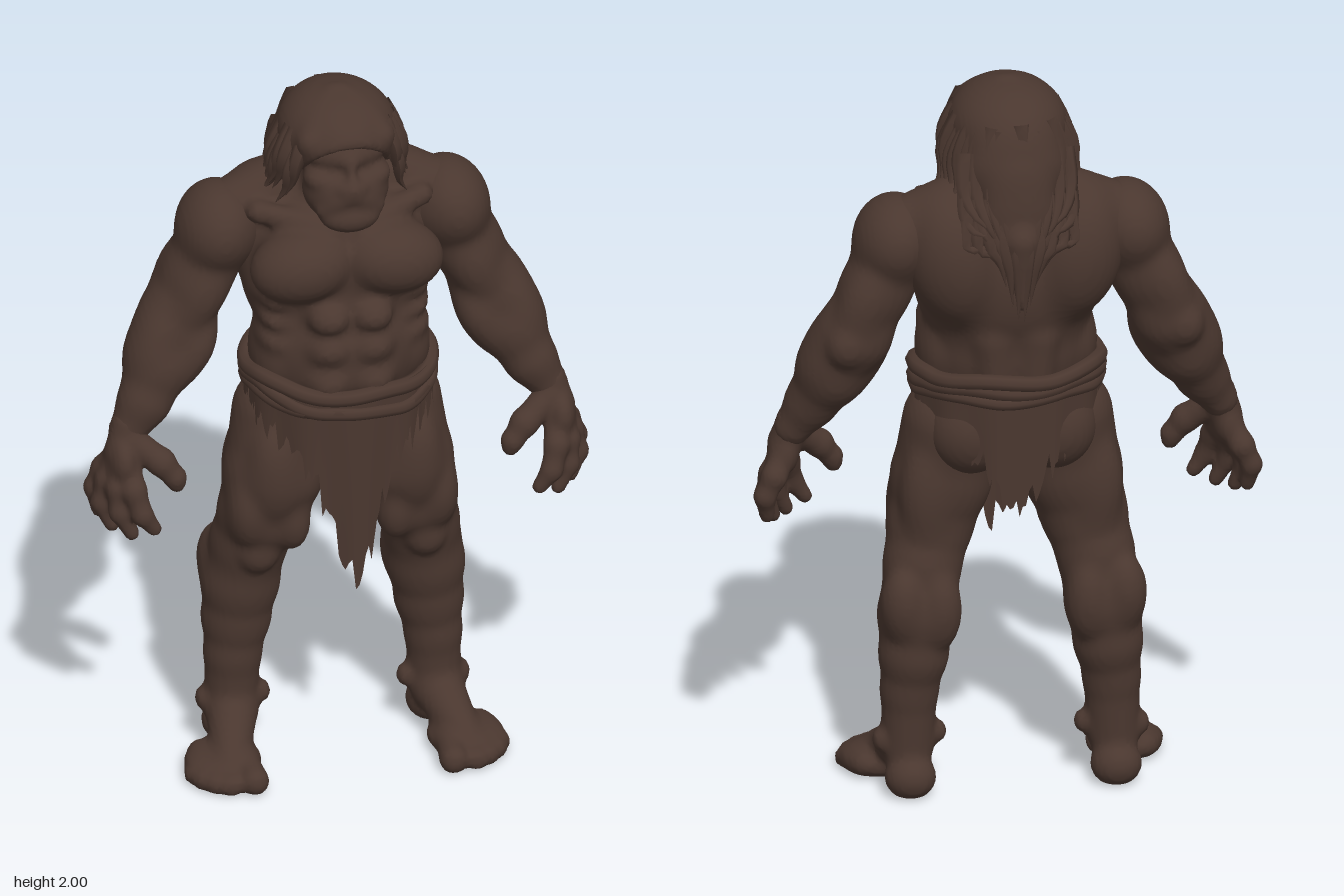
import * as THREE from 'three';

const brown = new THREE.MeshStandardMaterial({ color: 0x4a372f, side: THREE.DoubleSide });
brown.name = 'dark brown';

let seed = 7;
const rand = () => (seed = (seed * 16807) % 2147483647) / 2147483647;

// Soft shapes: tapered limb between two points, and ellipsoid (optionally tilted about z)
function limb(a, b, ra, rb) {
  const d = b.map((v, i) => v - a[i]), dd = d[0] ** 2 + d[1] ** 2 + d[2] ** 2, r = Math.max(ra, rb);
  return {
    lo: a.map((v, i) => Math.min(v, b[i]) - r), hi: a.map((v, i) => Math.max(v, b[i]) + r),
    dist(x, y, z) {
      x -= a[0]; y -= a[1]; z -= a[2];
      const h = Math.min(1, Math.max(0, (x * d[0] + y * d[1] + z * d[2]) / dd));
      return Math.hypot(x - h * d[0], y - h * d[1], z - h * d[2]) - ra - h * (rb - ra);
    },
  };
}
function egg(c, r, tilt = 0) {
  const m = tilt ? Math.max(...r) : 0, cs = Math.cos(tilt), sn = Math.sin(tilt);
  return {
    lo: c.map((v, i) => v - Math.max(m, r[i])), hi: c.map((v, i) => v + Math.max(m, r[i])),
    dist(x, y, z) {
      x -= c[0]; y -= c[1]; z -= c[2];
      const u = x * cs + y * sn, v = y * cs - x * sn;
      const k0 = Math.hypot(u / r[0], v / r[1], z / r[2]);
      const k1 = Math.hypot(u / r[0] ** 2, v / r[1] ** 2, z / r[2] ** 2);
      return k1 < 1e-6 ? -Math.min(...r) : k0 * (k0 - 1) / k1;
    },
  };
}
// Chain of limbs through [x, y, z, radius] stations
const chain = (pts) => pts.slice(1).map((p, i) => limb(pts[i].slice(0, 3), p.slice(0, 3), pts[i][3], p[3]));

const smin = (a, b, k) => {
  const h = Math.max(k - Math.abs(a - b), 0) / k;
  return Math.min(a, b) - h * h * k / 4;
};

// Blends soft shapes into one smooth skin (surface nets)
function sculpt(shapes, { step = 0.013, k = 0.03, mirror = false, cuts = [], floor = -1 } = {}) {
  const lo = [0, 1, 2].map((i) => Math.min(...shapes.map((s) => s.lo[i])) - 0.035);
  const hi = [0, 1, 2].map((i) => Math.max(...shapes.map((s) => s.hi[i])) + 0.035);
  if (mirror) lo[0] = -(hi[0] = Math.max(hi[0], -lo[0]));
  const n = lo.map((v, i) => Math.ceil((hi[i] - v) / step) + 1);
  const S = [1, n[0], n[0] * n[1]], val = new Float32Array(n[0] * n[1] * n[2]);
  const each = (f, end) => {
    for (let c = 0; c < n[2] - end; c++) for (let b = 0; b < n[1] - end; b++)
      for (let a = 0; a < n[0] - end; a++) f([a, b, c], a + b * S[1] + c * S[2]);
  };
  each((g, q) => {
    let [x, y, z] = g.map((v, i) => lo[i] + v * step), d = 1;
    if (mirror) x = Math.abs(x);
    for (const s of shapes) d = smin(d, s.dist(x, y, z), k);
    for (const s of cuts) d = -smin(-d, s.dist(x, y, z), 0.02);
    val[q] = Math.max(d, floor - y);
  }, 0);
  const pos = [], index = [], id = new Int32Array(val.length).fill(-1);
  const off = (c) => (c & 1) * S[0] + (c >> 1 & 1) * S[1] + (c >> 2 & 1) * S[2];
  each((g, q) => {
    const sum = [0, 0, 0];
    let count = 0;
    for (let c = 0; c < 8; c++) for (let b = 0; b < 3; b++) {
      if (c >> b & 1) continue;
      const v0 = val[q + off(c)], v1 = val[q + off(c) + S[b]];
      if (v0 < 0 === v1 < 0) continue;
      for (let i = 0; i < 3; i++) sum[i] += (c >> i & 1) + (i === b ? v0 / (v0 - v1) : 0);
      count++;
    }
    if (!count) return;
    id[q] = pos.length / 3;
    pos.push(...sum.map((s, i) => lo[i] + (g[i] + s / count) * step));
  }, 1);
  each((g, q) => {
    for (let a = 0; a < 3; a++) {
      const inside = val[q] < 0;
      if (inside === val[q + S[a]] < 0) continue;
      const u = S[(a + 1) % 3], v = S[(a + 2) % 3];
      const [A, B, C, D] = [q, q - u, q - u - v, q - v].map((e) => id[e]);
      index.push(...(inside ? [A, B, C, A, C, D] : [A, C, B, A, D, C]));
    }
  }, 1);
  return surface(pos, index);
}
function surface(pos, index) {
  const geo = new THREE.BufferGeometry();
  geo.setAttribute('position', new THREE.Float32BufferAttribute(pos, 3));
  geo.setIndex(index);
  geo.computeVertexNormals();
  return geo;
}
function flipped(geo) {
  const out = geo.clone().scale(-1, 1, 1), ix = out.index.array;
  for (let i = 0; i < ix.length; i += 3) [ix[i], ix[i + 1]] = [ix[i + 1], ix[i]];
  out.computeVertexNormals();
  return out;
}
// Pointed lock of hair along a curve
function lock(points, width) {
  const curve = new THREE.CatmullRomCurve3(points.map((p) => new THREE.Vector3(...p)));
  const geo = new THREE.TubeGeometry(curve, 8, width, 6), p = geo.attributes.position, v = new THREE.Vector3();
  for (let i = 0; i < p.count; i++) {
    const t = Math.floor(i / 7) / 8, c = curve.getPointAt(t);
    v.fromBufferAttribute(p, i).sub(c).multiplyScalar(Math.max(0.02, 1 - t ** 1.6)).add(c);
    p.setXYZ(i, v.x, v.y, v.z);
  }
  geo.computeVertexNormals();
  return geo;
}

export function createModel() {
  const model = new THREE.Group();
  const add = (name, geo, parent = model) => {
    const mesh = new THREE.Mesh(geo, brown);
    mesh.name = name;
    parent.add(mesh);
  };
  const pair = (name, geo) => { add('left' + name, geo); add('right' + name, flipped(geo)); };

  // Torso: ribs, belly, hips, then chest, back, neck slopes and stomach muscles
  add('torso', sculpt([
    egg([0, 1.46, 0], [0.255, 0.26, 0.185]), egg([0, 1.25, 0.035], [0.225, 0.22, 0.18]),
    egg([0, 1.08, 0.01], [0.235, 0.15, 0.165]), egg([0.12, 1.535, 0.135], [0.14, 0.1, 0.105], -0.15),
    egg([0.16, 1.54, -0.09], [0.13, 0.19, 0.125], -0.2), egg([0.11, 1.03, -0.06], [0.115, 0.12, 0.105]),
    limb([0.05, 1.74, -0.06], [0.27, 1.62, -0.05], 0.065, 0.085), limb([0, 1.64, -0.02], [0, 1.8, 0.04], 0.1, 0.095),
    limb([0.06, 1.3, -0.12], [0.05, 1.15, -0.12], 0.045, 0.04), egg([0.185, 1.23, 0.04], [0.055, 0.1, 0.1]),
    limb([0.03, 1.63, 0.13], [0.22, 1.66, 0.05], 0.025, 0.03),
    ...[1.39, 1.3, 1.2].map((y) => egg([0.058, y, 0.18], [0.055, 0.045, 0.055])),
    ...[1.42, 1.36, 1.3].map((y) => egg([0.185, y, 0.09], [0.045, 0.028, 0.06], 0.4)),
  ], { k: 0.03, mirror: true }));

  // Arms
  pair('Arm', sculpt([
    egg([0.315, 1.585, -0.04], [0.105, 0.12, 0.135], 0.3),
    ...chain([[0.3, 1.57, -0.04, 0.1], [0.36, 1.45, -0.045, 0.09], [0.42, 1.32, -0.045, 0.095],
      [0.475, 1.2, -0.01, 0.088], [0.52, 1.11, 0.02, 0.066], [0.57, 1.03, 0.035, 0.05]]),
    egg([0.365, 1.41, 0.01], [0.06, 0.1, 0.06], 0.42), egg([0.4, 1.43, -0.1], [0.06, 0.11, 0.055], 0.42),
    egg([0.49, 1.27, -0.02], [0.06, 0.1, 0.08], 0.4), egg([0.39, 1.24, 0.0], [0.055, 0.1, 0.07], 0.5),
    egg([0.455, 1.31, -0.12], [0.04, 0.045, 0.035]),
  ]));

  // Hands: palm rays running into curled fingers, and a thumb
  const rays = [
    [[0.625, 0.905, 0.0], [0.65, 0.85, -0.002], [0.642, 0.79, 0.015]],
    [[0.625, 0.895, 0.045], [0.642, 0.83, 0.05], [0.618, 0.77, 0.065]],
    [[0.605, 0.89, 0.09], [0.605, 0.825, 0.105], [0.575, 0.765, 0.115]],
    [[0.57, 0.895, 0.12], [0.552, 0.83, 0.14], [0.52, 0.785, 0.14]],
  ];
  pair('Hand', sculpt([
    limb([0.565, 1.05, 0.035], [0.59, 0.98, 0.05], 0.048, 0.042), egg([0.59, 0.96, 0.06], [0.04, 0.07, 0.07]),
    ...rays.flatMap(([a, b, c]) => chain([[0.58, 1.0, 0.045, 0.03], [...a, 0.032], [...b, 0.027], [...c, 0.02]])),
    ...chain([[0.56, 1.01, 0.06, 0.038], [0.49, 0.955, 0.09, 0.036], [0.455, 0.91, 0.1, 0.028], [0.45, 0.89, 0.1, 0.022]]),
  ], { step: 0.009, k: 0.014 }));

  // Legs with flat-soled feet
  pair('Leg', sculpt([
    ...chain([[0.155, 1.03, 0.01, 0.125], [0.175, 0.86, 0.03, 0.13], [0.205, 0.74, 0.02, 0.112], [0.23, 0.64, -0.01, 0.1],
      [0.25, 0.5, -0.035, 0.1], [0.26, 0.39, -0.04, 0.088], [0.27, 0.29, -0.035, 0.073], [0.275, 0.13, -0.035, 0.07]]),
    egg([0.14, 0.74, 0.09], [0.05, 0.085, 0.06]), egg([0.255, 0.78, 0.085], [0.055, 0.1, 0.065]),
    egg([0.19, 0.9, 0.11], [0.07, 0.14, 0.065]), egg([0.225, 0.64, 0.085], [0.048, 0.05, 0.035]),
    egg([0.2, 0.53, -0.085], [0.06, 0.11, 0.065]), egg([0.295, 0.55, -0.085], [0.06, 0.1, 0.065]),
    egg([0.225, 0.84, -0.05], [0.07, 0.15, 0.06]), egg([0.195, 0.16, -0.03], [0.025, 0.03, 0.03]),
    egg([0.35, 0.15, -0.04], [0.02, 0.03, 0.03]), egg([0.275, 0.055, -0.08], [0.068, 0.06, 0.068]),
    limb([0.28, 0.12, 0], [0.315, 0.055, 0.14], 0.068, 0.048), egg([0.325, 0.04, 0.1], [0.1, 0.045, 0.09], 0),
    ...[[0.268, 0.23, 0.038], [0.33, 0.226, 0.029], [0.367, 0.207, 0.028], [0.396, 0.178, 0.027], [0.413, 0.142, 0.026]]
      .map(([x, z, r]) => limb([0.3 + (x - 0.3) * 0.7, 0.045, z - 0.09], [x, r, z], r, r)),
  ], { step: 0.012, k: 0.022, floor: 0.004 }));

  // Head: heavy brow, sunken eyes, broad nose, moustache and bearded jaw
  add('head', sculpt([
    egg([0, 1.86, 0.03], [0.13, 0.125, 0.15]), egg([0, 1.755, 0.12], [0.115, 0.1, 0.1]),
    egg([0, 1.695, 0.175], [0.08, 0.045, 0.055]), limb([0, 1.858, 0.17], [0.075, 1.865, 0.135], 0.026, 0.026),
    limb([0, 1.845, 0.185], [0, 1.79, 0.212], 0.014, 0.022), egg([0.022, 1.788, 0.2], [0.016, 0.014, 0.018]),
    egg([0.075, 1.8, 0.14], [0.04, 0.028, 0.045]), limb([0.01, 1.765, 0.21], [0.075, 1.72, 0.18], 0.016, 0.014),
    egg([0.13, 1.81, 0.03], [0.022, 0.045, 0.03]),
  ], { step: 0.009, k: 0.02, mirror: true, cuts: [egg([0.045, 1.832, 0.205], [0.03, 0.014, 0.022])] }));

  // Hair: cap open over the face, a tapering mane, and pointed locks
  const hair = new THREE.Group();
  hair.name = 'hair';
  model.add(hair);
  add('hairCap', sculpt([
    egg([0, 1.872, 0.015], [0.158, 0.126, 0.185]), egg([0, 1.79, -0.09], [0.14, 0.13, 0.11]),
    egg([0, 1.67, -0.165], [0.1, 0.16, 0.06]), limb([0, 1.62, -0.21], [0, 1.44, -0.222], 0.045, 0.014),
    limb([0.01, 1.985, 0.02], [0.1, 1.9, 0.13], 0.01, 0.025),
  ], { step: 0.011, mirror: true, cuts: [egg([0, 1.76, 0.2], [0.135, 0.135, 0.16])] }), hair);
  for (let i = 0; i < 34; i++) {
    const a = Math.PI + (i / 33 - 0.5) * 4.5, s = Math.sin(a), c = Math.cos(a), j = rand() * 0.06;
    add('sideLock', lock([[0.13 * s, 1.93 - j, 0.01 + 0.15 * c], [0.172 * s, 1.85 - j, 0.01 + 0.175 * c],
      [0.178 * s, 1.79 - j, -0.01 + 0.18 * c], [(0.19 + j / 3) * s, 1.74 - j, -0.03 + 0.18 * c]], 0.026), hair);
  }
  for (let i = 0; i < 30; i++) {
    const x = (i % 10 - 4.5) * 0.03, row = Math.floor(i / 10), j = rand() * 0.05, y = 1.84 - row * 0.07;
    const z = -0.14 - row * 0.025 + Math.abs(x) * 0.25;
    add('maneLock', lock([[x, y, z], [x * 1.05, y - 0.1, z - 0.045],
      [x * 0.8, (y + 1.36) / 2 + Math.abs(x) * 0.6, -0.235 + Math.abs(x) * 0.2],
      [x * 0.5 + j * 0.2, 1.36 + Math.abs(x) * 1.5 + j + (2 - row) * 0.04, -0.235 + Math.abs(x) * 0.2]], 0.024), hair);
  }

  // Loincloth: ragged wrap with long pointed flaps front and back
  const cols = 180, rows = 14, pos = [], index = [];
  const around = (a, y, grow = 0) => {
    const c = Math.cos(a), r = 1 + 0.018 * Math.sin(11 * a + 1) * (1.25 - y) * 4;
    return [(0.252 + grow) * Math.sin(a) * r, y, 0.03 + ((c > 0 ? 0.212 : 0.215) + grow) * c * r];
  };
  for (let i = 0; i <= cols; i++) {
    const a = (i / cols * 2 - 1) * Math.PI, b = Math.abs(a), c = Math.cos(a);
    const hem = 1.09 - 0.12 * Math.abs(c) - 0.36 * Math.exp(-((b / 0.35) ** 2))
      - 0.15 * Math.exp(-(((Math.PI - b) / 0.32) ** 2)) + (i % cols ? rand() * 0.045 + (i % 5) * 0.016 - 0.03 : 0);
    for (let j = 0; j <= rows; j++) pos.push(...around(a, 1.19 + (hem - 1.19) * j / rows));
  }
  for (let i = 0; i < cols; i++) for (let j = 0; j < rows; j++) {
    const p = i * (rows + 1) + j, q = p + rows + 1;
    index.push(p, p + 1, q, q, p + 1, q + 1);
  }
  add('loincloth', surface(pos, index));
  // Rolled folds at the waist, sagging at the front
  [[1.2, 0.03, 0.022], [1.175, 0.06, 0.02], [1.15, 0.03, 0.018]].forEach(([y, sag, r], n) => {
    const pts = Array.from({ length: 32 }, (_, i) => {
      const a = i / 16 * Math.PI;
      return new THREE.Vector3(...around(a, y - sag * Math.max(0, Math.cos(a - 0.4)) + 0.006 * Math.sin(5 * a + n), -0.006));
    });
    add('waistRoll', new THREE.TubeGeometry(new THREE.CatmullRomCurve3(pts, true), 96, r, 8, true));
  });
  return model;
}
